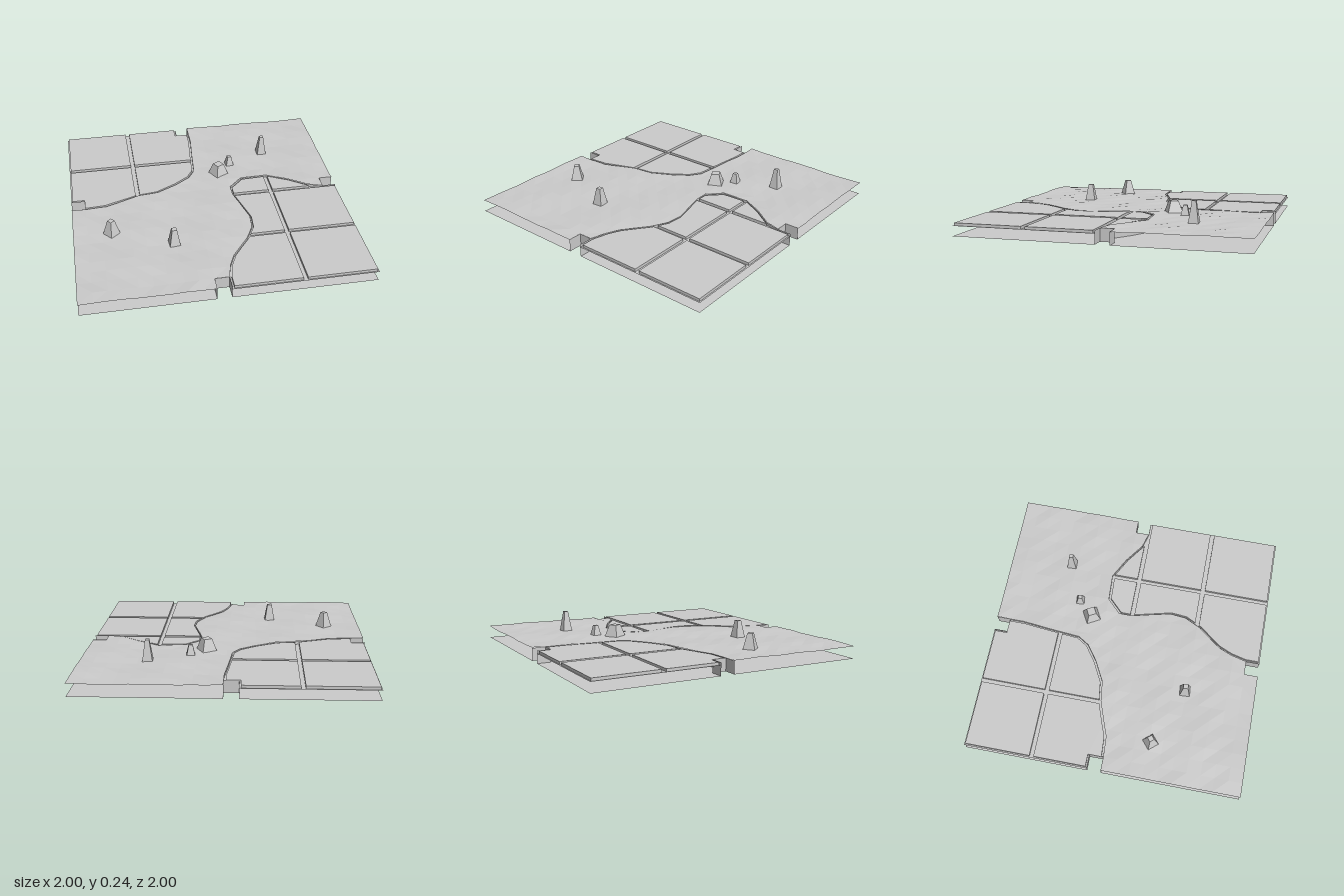
import * as THREE from 'three';
import { mergeGeometries } from 'three/addons/utils/BufferGeometryUtils.js';

const TOP = 0.09, GROUT = 0.07;

// Edges between cave floor and paving, as [x, z]
const frontEdge = [[0, 0.9], [0.03, 0.78], [0.07, 0.69], [0.13, 0.61], [0.2, 0.52], [0.26, 0.4],
  [0.27, 0.28], [0.23, 0.12], [0.2, 0], [0.2, -0.1], [0.3, -0.2], [0.5, -0.21], [0.65, -0.13],
  [0.79, -0.03], [0.9, 0]];
const backEdge = [[-0.9, 0], [-0.75, -0.01], [-0.67, -0.04], [-0.5, -0.1], [-0.35, -0.12], [-0.2, -0.2],
  [-0.09, -0.28], [-0.04, -0.36], [-0.02, -0.6], [0, -0.8], [0, -0.9]];

// Notches cut into the four sides
const notches = [
  [[-0.1, 1], [-0.1, 0.9], [0, 0.9], [0, 1]],
  [[1, 0], [0.9, 0], [0.9, -0.1], [1, -0.1]],
  [[0, -1], [0, -0.9], [-0.1, -0.9], [-0.1, -1]],
  [[-1, -0.1], [-0.9, -0.1], [-0.9, 0], [-1, 0]],
];

const outline = [[-1, 1], ...notches[0], [1, 1], ...notches[1], [1, -1], ...notches[2], [-1, -1], ...notches[3]];
const frontRegion = [[1, 1], [0, 1], ...frontEdge, [1, 0]];
const backRegion = [[-1, -1], [-1, -0.1], [-0.9, -0.1], ...backEdge, [-0.1, -0.9], [-0.1, -1]];
const caveRegion = [[-1, 1], [-0.1, 1], [-0.1, 0.9], ...frontEdge, [0.9, -0.1], [1, -0.1],
  [1, -1], [0, -1], ...[...backEdge].reverse(), [-1, 0]];

// Keep the part of a polygon that lies inside a rectangle
function clip(poly, x0, x1, z0, z1) {
  for (const [axis, limit, sign] of [[0, x0, 1], [0, x1, -1], [1, z0, 1], [1, z1, -1]]) {
    const out = [];
    poly.forEach((a, i) => {
      const b = poly[(i + 1) % poly.length];
      const da = (a[axis] - limit) * sign, db = (b[axis] - limit) * sign;
      if (da >= 0) out.push(a);
      if ((da > 0 && db < 0) || (da < 0 && db > 0)) {
        const t = da / (da - db);
        out.push([a[0] + (b[0] - a[0]) * t, a[1] + (b[1] - a[1]) * t]);
      }
    });
    poly = out;
  }
  return poly.filter((p, i) => {
    const q = poly[(i + 1) % poly.length];
    return Math.hypot(p[0] - q[0], p[1] - q[1]) > 1e-5;
  });
}

const toShape = (poly) => new THREE.Shape(poly.map(([x, z]) => new THREE.Vector2(x, -z)));
const area = (poly) => Math.abs(THREE.ShapeUtils.area(poly.map(([x, y]) => ({ x, y }))));
const sheet = (poly, y) => new THREE.ShapeGeometry(toShape(poly)).rotateX(-Math.PI / 2).translate(0, y, 0);

// Upright strip following a line on the ground
function wall(line) {
  const pos = [];
  for (let i = 0; i + 1 < line.length; i++) {
    const [ax, az] = line[i], [bx, bz] = line[i + 1];
    pos.push(ax, 0, az, bx, 0, bz, bx, TOP, bz, ax, 0, az, bx, TOP, bz, ax, TOP, az);
  }
  const g = new THREE.BufferGeometry();
  g.setAttribute('position', new THREE.Float32BufferAttribute(pos, 3));
  g.computeVertexNormals();
  return g;
}

// Gentle unevenness of the cave floor
const groundHeight = (x, z) => TOP + 0.003 * Math.sin(x * 11 + z * 4)
  + 0.002 * Math.sin(z * 17 - x * 5) + 0.0015 * Math.sin(x * 29 + z * 23);

function caveFloor() {
  const cells = [], s = 0.1;
  for (let i = -10; i < 10; i++) for (let j = -10; j < 10; j++) {
    const poly = clip(caveRegion, i * s, (i + 1) * s, j * s, (j + 1) * s);
    if (poly.length < 3 || area(poly) < 1e-5) continue;
    cells.push(sheet(poly, 0).toNonIndexed());
  }
  const g = mergeGeometries(cells), p = g.attributes.position;
  for (let i = 0; i < p.count; i++) p.setY(i, groundHeight(p.getX(i), p.getZ(i)));
  g.computeVertexNormals();
  return g;
}

export function createModel() {
  const model = new THREE.Group();
  model.name = 'caveFloorTile';
  const stone = new THREE.MeshStandardMaterial({ color: 0xcccccc, side: THREE.DoubleSide });
  stone.name = 'light grey stone';
  const add = (name, geometry, parent = model) => {
    const m = new THREE.Mesh(geometry, stone);
    m.name = name;
    parent.add(m);
    return m;
  };

  // Base plate, open at the outer sides
  add('basePlate', sheet(outline, 0));
  notches.forEach((n) => add('notchWall', wall(n)));
  add('frontPavingWall', wall(frontEdge));
  add('backPavingWall', wall(backEdge));
  add('caveFloor', caveFloor());

  // Paving: sunken joint floor with raised slabs
  const bands = [[-0.99, -0.52], [-0.49, -0.015], [0.015, 0.48], [0.51, 0.99]];
  for (const [name, region, c] of [['frontPaving', frontRegion, 1], ['backPaving', backRegion, -1]]) {
    const paving = new THREE.Group();
    paving.name = name;
    model.add(paving);
    add('jointFloor', sheet(region, GROUT), paving);
    const inset = region.map(([x, z]) => [c + (x - c) * 0.987, c + (z - c) * 0.987]);
    for (const [x0, x1] of bands) for (const [z0, z1] of bands) {
      const poly = clip(inset, x0, x1, z0, z1);
      if (poly.length < 3 || area(poly) < 1e-4) continue;
      const g = new THREE.ExtrudeGeometry(toShape(poly), { depth: TOP - GROUT, bevelEnabled: false });
      add('pavingSlab', g.rotateX(-Math.PI / 2).translate(0, GROUT, 0), paving);
    }
  }

  // Stalagmites: x, z, half base, half top, top height, turn
  const stalagmites = [
    [-0.73, 0.31, 0.044, 0.018, 0.2, 0.7],
    [-0.31, 0.49, 0.038, 0.017, 0.21, 0.08],
    [0.145, -0.3, 0.056, 0.029, 0.175, 0.5],
    [0.25, -0.41, 0.031, 0.014, 0.163, 0.12],
    [0.535, -0.535, 0.036, 0.014, 0.238, 0.04],
  ];
  for (const [x, z, base, top, y, turn] of stalagmites) {
    const low = 0.083, r = Math.SQRT2;
    const g = new THREE.CylinderGeometry(top * r, base * r, y - low, 4, 1).rotateY(Math.PI / 4).toNonIndexed();
    g.computeVertexNormals();
    const m = add('stalagmite', g);
    m.position.set(x, (y + low) / 2, z);
    m.rotation.y = turn;
  }
  return model;
}
